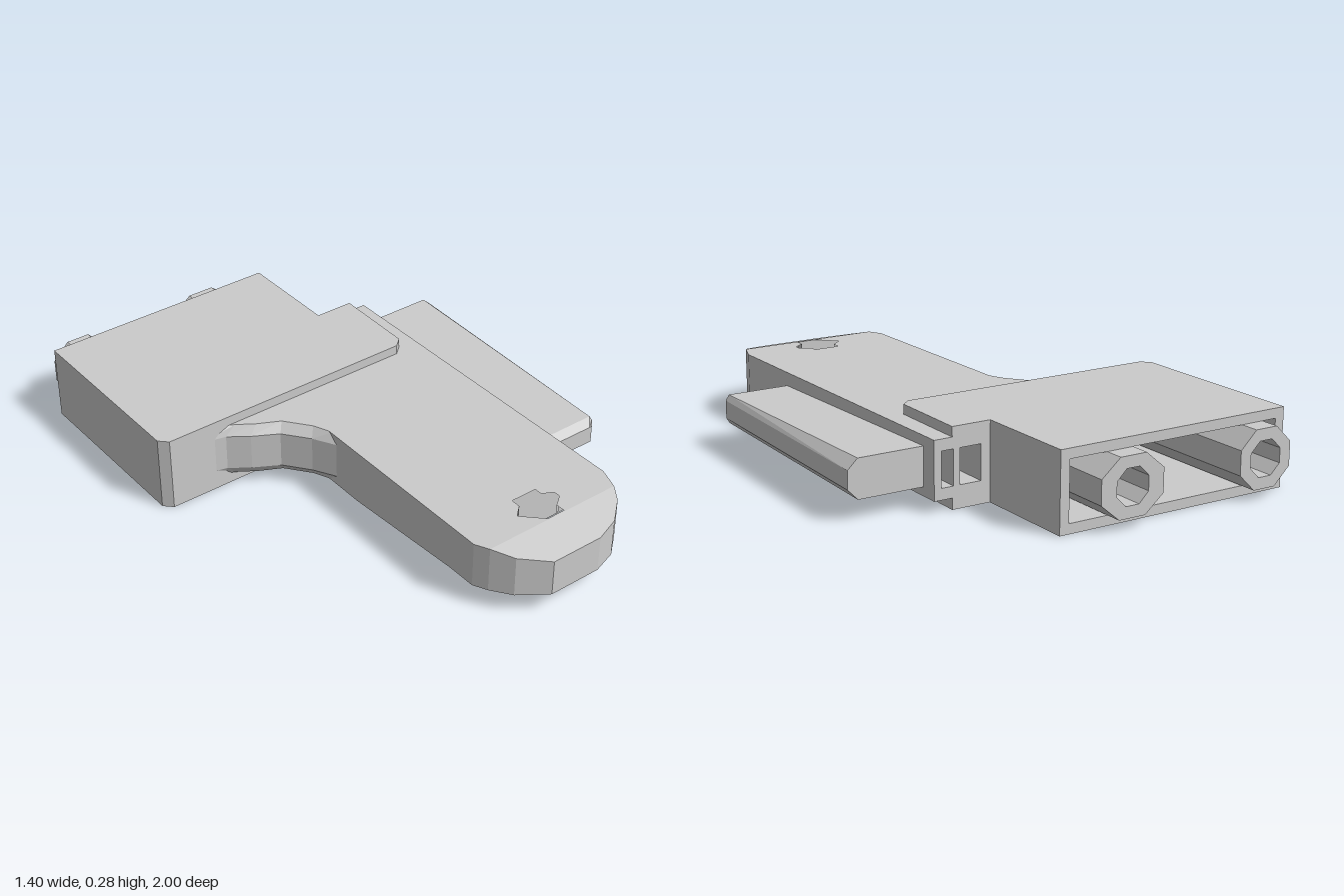
import * as THREE from 'three';

const grey = new THREE.MeshStandardMaterial({ color: 0xcccccc, flatShading: true });

export function createModel() {
  const root = new THREE.Group();
  const add = (name, geometry) => {
    const m = new THREE.Mesh(geometry, grey);
    m.name = name;
    root.add(m);
    return m;
  };
  const vecs = (pts, s = 1) => pts.map(([a, b]) => new THREE.Vector2(a, b * s));

  // Plate drawn in x,z and extruded upward from y0 to y1
  const plate = (pts, y0, y1, holes = []) => {
    const shape = new THREE.Shape(vecs(pts, -1));
    holes.forEach(h => shape.holes.push(new THREE.Path(vecs(h, -1))));
    return new THREE.ExtrudeGeometry(shape, { depth: y1 - y0, bevelEnabled: false })
      .rotateX(-Math.PI / 2).translate(0, y0, 0);
  };

  // Frame drawn in x,y and extruded from z0 to z1
  const frame = (pts, holes, z0, z1) => {
    const shape = new THREE.Shape(vecs(pts));
    holes.forEach(h => shape.holes.push(new THREE.Path(vecs(h))));
    return new THREE.ExtrudeGeometry(shape, { depth: z1 - z0, bevelEnabled: false }).translate(0, 0, z0);
  };
  const rect = (x0, y0, x1, y1) => [[x0, y0], [x1, y0], [x1, y1], [x0, y1]];
  const ring = (cx, cy, rx, ry, n) => Array.from({ length: n }, (_, i) => {
    const a = (i + 0.5) / n * Math.PI * 2, k = 1 / Math.cos(Math.PI / n);
    return [cx + Math.cos(a) * rx * k, cy + Math.sin(a) * ry * k];
  });

  // Solid through matching cross-sections, with capped ends
  const loft = (sections) => {
    const out = [];
    const tri = (...p) => p.forEach(v => out.push(...v));
    const n = sections[0].length, last = sections[sections.length - 1];
    for (let s = 0; s + 1 < sections.length; s++) {
      for (let i = 0; i < n; i++) {
        const j = (i + 1) % n, A = sections[s], B = sections[s + 1];
        tri(A[i], A[j], B[j]);
        tri(A[i], B[j], B[i]);
      }
    }
    for (let i = 1; i + 1 < n; i++) {
      tri(last[0], last[i], last[i + 1]);
      tri(sections[0][0], sections[0][i + 1], sections[0][i]);
    }
    const g = new THREE.BufferGeometry();
    g.setAttribute('position', new THREE.Float32BufferAttribute(out, 3));
    g.computeVertexNormals();
    return g;
  };

  // Housing: open at the back, closed in front
  add('housingShell', frame(rect(-0.7, 0, 0.205, 0.28), [rect(-0.665, 0.035, 0.17, 0.245)], -0.93, -0.24));
  add('housingFrontWall', plate([[-0.7, -0.24], [-0.7, -0.23], [-0.67, -0.2], [0.205, -0.2], [0.205, -0.24]], 0, 0.28));

  // Socket tubes sticking out of the back
  [[-0.565, 0.105], [-0.022, 0.122]].forEach(([x, rx], i) => {
    add('socketTube' + (i + 1), frame(ring(x, 0.142, rx, 0.103, 8), [ring(x, 0.142, 0.062, 0.062, 8)], -1, -0.24));
  });

  // Covers above and below the side of the arm
  const cover = [[0.205, -0.54], [0.35, -0.54], [0.345, -0.23], [0.31, -0.2], [0.205, -0.2]];
  add('upperCover', plate(cover, 0.245, 0.28));
  add('lowerCover', plate(cover, 0, 0.04));

  // Rear of the arm with two open slots
  add('armRear', frame(rect(0.205, 0.04, 0.418, 0.245),
    [rect(0.24, 0.08, 0.32, 0.205), rect(0.345, 0.08, 0.39, 0.205)], -0.54, -0.2));

  // Arm: pieces along z, thinning toward the rounded tip
  const clamp = THREE.MathUtils.clamp;
  const taper = (g) => {
    const p = g.attributes.position;
    for (let i = 0; i < p.count; i++) {
      const z = p.getZ(i);
      p.setY(i, p.getY(i) > 0.14
        ? 0.245 - 0.035 * clamp((z - 0.86) / 0.14, 0, 1)
        : 0.04 + 0.035 * clamp((z - 0.2) / 0.5, 0, 1));
    }
    g.computeVertexNormals();
    return g;
  };
  const L = -0.175, R = 0.418;
  const pinHole = [[0.03, 0.785], [0.07, 0.75], [0.07, 0.715], [0.17, 0.715], [0.17, 0.745],
    [0.21, 0.765], [0.21, 0.79], [0.17, 0.82], [0.17, 0.855], [0.1, 0.855]];
  const arm = [
    ['armBase', rect(L, -0.2, R, 0.2)],
    ['armMiddle', rect(L, 0.2, R, 0.7)],
    ['armEye', [[L, 0.7], [R, 0.7], [R, 0.78], [0.39, 0.86], [-0.15, 0.86], [L, 0.81]], [pinHole]],
    ['armTip', [[-0.15, 0.86], [0.39, 0.86], [0.36, 0.91], [0.29, 0.97], [0.2, 1], [0, 1], [-0.1, 0.93]]],
  ];
  arm.forEach(([name, pts, holes]) => add(name, taper(plate(pts, 0.04, 0.245, holes))));

  // Concave fillet between housing and arm, chamfered above and below
  const wide = [[-0.15, -0.21], [-0.53, -0.21], [-0.45, -0.19], [-0.38, -0.14], [-0.29, -0.09], [-0.22, 0], [-0.17, 0.09]];
  const narrow = [[-0.15, -0.21], [-0.45, -0.21], [-0.41, -0.19], [-0.35, -0.15], [-0.27, -0.11], [-0.2, -0.02], [-0.17, 0.05]];
  const level = (pts, y) => pts.map(([x, z]) => [x, y, z]);
  add('fillet', loft([level(narrow, 0.04), level(wide, 0.075), level(wide, 0.21), level(narrow, 0.245)]));

  // Side fin: chamfered outer edge, thinner and narrower toward the front
  const finSection = (z, lo, hi, bevelX, outerX) => [
    [0.41, lo, z], [bevelX, lo, z], [outerX, 0.11, z],
    [outerX, 0.175, z], [bevelX, hi, z], [0.41, hi, z]];
  add('sideFin', loft([
    finSection(-0.475, 0.072, 0.21, 0.66, 0.697),
    finSection(0.47, 0.09, 0.195, 0.65, 0.663),
    finSection(0.5, 0.11, 0.175, 0.625, 0.635)]));

  return root;
}
